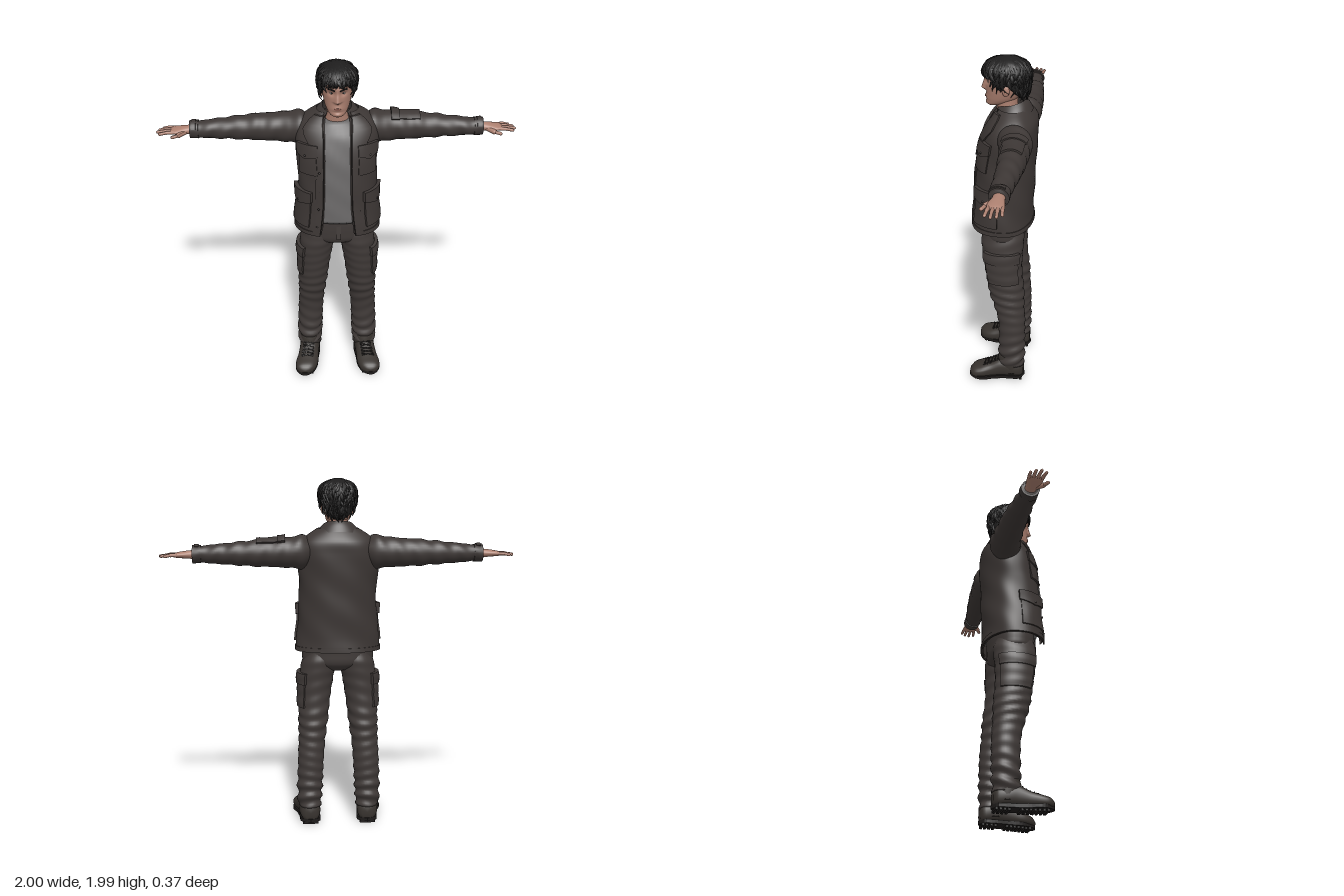
import * as THREE from 'three';
import { mergeGeometries, mergeVertices } from 'three/addons/utils/BufferGeometryUtils.js';

const V = (x, y, z) => new THREE.Vector3(x, y, z);
const spow = (v, e) => Math.sign(v) * Math.abs(v) ** e;
const gauss = (d, s) => Math.exp(-d * d / (2 * s * s));
const mat = (name, color, side = THREE.FrontSide) => new THREE.MeshStandardMaterial({ name, color, side });

// Smooth interpolation of rings [t, centreA, centreB, radiusA, radiusB, ...] at t
function ringAt(rings, t) {
  const n = rings.length - 1;
  if (t <= rings[0][0]) return rings[0];
  if (t >= rings[n][0]) return rings[n];
  let i = 0;
  while (rings[i + 1][0] < t) i++;
  const p = rings[i], q = rings[i + 1], h = q[0] - p[0], s = (t - p[0]) / h;
  const slope = (k, c) => {
    const a = rings[Math.max(k - 1, 0)], b = rings[Math.min(k + 1, n)];
    return (b[c] - a[c]) / (b[0] - a[0]);
  };
  return p.map((v, c) => (2 * s ** 3 - 3 * s * s + 1) * v + (3 * s * s - 2 * s ** 3) * q[c]
    + h * ((s ** 3 - 2 * s * s + s) * slope(i, c) + (s ** 3 - s * s) * slope(i + 1, c)));
}
// Surface (angle, t, offset) around the y (mode 0), x (mode 1) or z (mode 2) axis
const surface = (rings, mode = 0, e = 1, bump = null) => (th, t, off = 0) => {
  const r = ringAt(rings, t);
  const A = r[1] + (r[3] + off) * spow(Math.sin(th), e), B = r[2] + (r[4] + off) * spow(Math.cos(th), e);
  const p = mode === 0 ? V(A, t, B) : mode === 1 ? V(t, B, A) : V(B, A, t);
  if (bump) bump(p, th, t);
  return p;
};
function grid(nu, nv, fn, caps = false) {
  const pos = [], idx = [], w = nu + 1;
  for (let j = 0; j <= nv; j++) for (let i = 0; i <= nu; i++) pos.push(...fn(i / nu, j / nv).toArray());
  for (let j = 0; j < nv; j++) for (let i = 0; i < nu; i++) {
    const a = j * w + i;
    idx.push(a, a + 1, a + w + 1, a, a + w + 1, a + w);
  }
  if (caps) for (const j of [0, nv]) {
    const mid = fn(0, j / nv).add(fn(0.5, j / nv)).multiplyScalar(0.5), c = pos.length / 3;
    pos.push(...mid.toArray());
    for (let i = 0; i < nu; i++) idx.push(c, ...(j ? [j * w + i, j * w + i + 1] : [i + 1, i]));
  }
  let g = new THREE.BufferGeometry();
  g.setAttribute('position', new THREE.Float32BufferAttribute(pos, 3));
  g.setIndex(idx);
  g = mergeVertices(g, 1e-5);
  g.computeVertexNormals();
  return g;
}
const loft = (s, t0, t1, nu = 32, nv = 40) =>
  grid(nu, nv, (u, v) => s((u % 1) * Math.PI * 2, t0 + (t1 - t0) * v), true);
// Thin plate that follows a surface; shape may change [angle, t]
function wrap(s, u0, u1, t0, t1, thick, shape = (u, t) => [u, t], n = 8) {
  const g = new THREE.BoxGeometry(1, 1, 1, n, n, 1), p = g.attributes.position;
  for (let i = 0; i < p.count; i++) {
    const [u, t] = shape(u0 + (u1 - u0) * (p.getX(i) + 0.5), t0 + (t1 - t0) * (p.getY(i) + 0.5));
    p.setXYZ(i, ...s(u, t, -0.004 + (p.getZ(i) + 0.5) * (thick + 0.004)).toArray());
  }
  g.computeVertexNormals();
  return g;
}
function limb(a, b, r) {
  const g = new THREE.CapsuleGeometry(r, a.distanceTo(b), 5, 10), d = b.clone().sub(a).normalize();
  g.applyQuaternion(new THREE.Quaternion().setFromUnitVectors(V(0, 1, 0), d));
  return g.translate(...a.clone().add(b).multiplyScalar(0.5).toArray());
}
const ball = (x, y, z, rx, ry, rz) => new THREE.SphereGeometry(1, 20, 14).scale(rx, ry, rz).translate(x, y, z);
function mirror(src) {
  const g = src.clone().scale(-1, 1, 1);
  const ix = g.index ? Array.from(g.index.array) : Array.from({ length: g.attributes.position.count }, (_, i) => i);
  for (let i = 0; i < ix.length; i += 3) [ix[i], ix[i + 1]] = [ix[i + 1], ix[i]];
  g.setIndex(ix);
  g.computeVertexNormals();
  return g;
}

export function createModel() {
  const root = new THREE.Group();
  root.name = 'man in field jacket';
  const D = THREE.DoubleSide;
  const M = {
    jacket: mat('jacket cloth', 0x3d3735, D), trim: mat('dark trim', 0x2b2625), pants: mat('trouser cloth', 0x403a38),
    shirt: mat('grey shirt', 0x6a6868), skin: mat('skin', 0xac8070), lip: mat('lips', 0x8a5b50),
    hair: mat('hair', 0x1e1d1d, D), boot: mat('boot leather', 0x38332f), sole: mat('boot sole', 0x1f1c1b), eye: mat('eye white', 0xb9b2ac),
  };
  const add = (name, g, m) => { const o = new THREE.Mesh(g, m); o.name = name; root.add(o); };
  const pair = (name, g, m) => { add('left ' + name, g, m); add('right ' + name, mirror(g), m); };

  // Jacket body, open at the front; the last ring value is half the opening
  const jr = [[1.02, 0, .01, .243, .174, .1], [1.1, 0, .01, .238, .17, .09], [1.25, 0, .003, .224, .168, .08],
    [1.4, 0, -.008, .222, .166, .077], [1.5, 0, -.018, .23, .159, .075], [1.58, 0, -.03, .228, .149, .076],
    [1.64, 0, -.045, .21, .132, .078], [1.68, 0, -.05, .17, .105, .075], [1.715, 0, -.045, .115, .085, .065]];
  const E = 0.87;
  const body = surface(jr, 0, E, (p, th, t) => {
    const f = .004 * Math.sin(t * 24 + th * 3) * Math.sin(th * 2 + t * 6);
    p.x += f * Math.sin(th); p.z += f * Math.cos(th);
  });
  const edge = t => { const r = ringAt(jr, t); return Math.asin((r[5] / r[3]) ** (1 / E)); };
  add('jacket body', grid(72, 50, (u, v) => {
    const t = 1.02 + .695 * v, a = edge(t);
    return body(a + u * (2 * Math.PI - 2 * a), t, u === 0 || u === 1 ? -.024 : v === 0 ? -.012 : 0);
  }), M.jacket);
  add('hem band', wrap(body, edge(1.03), 2 * Math.PI - edge(1.03), 1.02, 1.045, .004, undefined, 60), M.jacket);
  pair('placket', wrap(body, 0, .2, 1.025, 1.6, .006, (u, t) => [u + edge(t), t], 14), M.jacket);
  pair('lapel', wrap(body, 0, 1, 1.44, 1.7, .012, (u, t) =>
    [edge(t) + u * (t < 1.63 ? .62 * (t - 1.44) / .19 : .62 - (t - 1.63) * 2), t], 12), M.jacket);
  // Pockets with pointed flaps
  const flap = (u0, u1, t1, drop) => (u, t) => [u, t - (t < t1 ? drop * (1 - Math.abs((2 * u - u0 - u1) / (u1 - u0))) * (t1 - t) / .06 : 0)];
  pair('chest pocket', wrap(body, .46, 1.1, 1.39, 1.53, .009), M.jacket);
  pair('chest pocket flap', wrap(body, .42, 1.13, 1.5, 1.56, .017, flap(.42, 1.13, 1.56, .02)), M.jacket);
  pair('hip pocket', wrap(body, .66, 1.55, 1.07, 1.25, .011), M.jacket);
  pair('hip pocket flap', wrap(body, .62, 1.58, 1.225, 1.285, .019, flap(.62, 1.58, 1.285, .02)), M.jacket);
  const button = (s, u, t, off) => ball(...s(u, t, off).toArray(), .006, .006, .006);
  pair('pocket buttons', mergeGeometries([button(body, .775, 1.5, .016), button(body, 1.1, 1.223, .018)]), M.trim);
  add('front buttons', mergeGeometries([1.08, 1.19, 1.3, 1.41].map(t => button(body, -edge(t) - .1, t, .005))), M.trim);
  // Folded collar, dipping towards the front
  const collar = (rings, t0, t1, a) => {
    const s = surface(rings);
    const g = grid(40, 8, (u, v) => {
      const p = s(a + u * (2 * Math.PI - 2 * a), t0 + (t1 - t0) * v);
      p.y -= .24 * (p.z + .12);
      return p;
    });
    return g;
  };
  add('collar stand', collar([[1.68, 0, -.04, .105, .085], [1.76, 0, -.03, .08, .082]], 1.68, 1.76, .75), M.jacket);
  add('collar fall', collar([[1.69, 0, -.043, .135, .108], [1.735, 0, -.034, .104, .096], [1.76, 0, -.03, .08, .082]], 1.69, 1.76, .7), M.jacket);

  // Shirt
  add('shirt', loft(surface([[1.085, 0, 0, .2, .152], [1.25, 0, 0, .19, .148], [1.4, 0, -.01, .19, .146], [1.5, 0, -.02, .19, .139],
    [1.58, 0, -.032, .185, .128], [1.63, 0, -.04, .15, .111], [1.668, 0, -.025, .076, .077]], 0, .9,
    (p, th, t) => { p.z += .002 * Math.sin(t * 40 + p.x * 30); }), 1.085, 1.668, 40, 40), M.shirt);

  // Sleeves, cuffs and the left arm pocket
  const arm = surface([[.13, -.065, 1.59, .06, .055], [.2, -.076, 1.585, .094, .094], [.26, -.086, 1.583, .088, .088],
    [.33, -.09, 1.581, .08, .081], [.45, -.092, 1.58, .073, .075], [.55, -.09, 1.578, .066, .066],
    [.65, -.085, 1.576, .058, .057], [.75, -.08, 1.575, .05, .048], [.81, -.08, 1.575, .045, .043]], 1, 1, (p, th, t) => {
    const f = .0035 * Math.sin(t * 62 + 2 * Math.sin(th + 1)) * Math.sin(th * 1 + t * 9);
    p.y += f * Math.cos(th); p.z += f * Math.sin(th);
  });
  pair('sleeve', loft(arm, .13, .81, 32, 70), M.jacket);
  pair('cuff', wrap(arm, 0, 2 * Math.PI, .765, .813, .005, undefined, 28), M.jacket);
  pair('cuff strap', wrap(arm, -.6, 1.2, .778, .802, .01), M.jacket);
  add('arm pocket', wrap(arm, -.75, .75, .31, .46, .01), M.jacket);
  add('arm pocket flap', wrap(arm, -.8, .8, .3, .345, .017), M.jacket);

  // Hands
  const palm = surface([[.78, -.08, 1.574, .03, .027], [.83, -.08, 1.573, .033, .023], [.87, -.077, 1.572, .042, .019],
    [.91, -.078, 1.57, .043, .013], [.925, -.078, 1.569, .03, .006]], 1);
  const fingers = [[-.112, -.118, .962], [-.09, -.094, .983], [-.067, -.066, .991], [-.045, -.037, .977]].flatMap(([z0, z1, x]) => {
    const mid = V((.905 + x) / 2, 1.571, (z0 + z1) / 2);
    return [limb(V(.9, 1.571, z0), mid, .0098), limb(mid, V(x, 1.565, z1), .0085)];
  });
  pair('palm', loft(palm, .78, .925, 24, 16), M.skin);
  pair('fingers', mergeGeometries(fingers), M.skin);
  pair('thumb', mergeGeometries([limb(V(.835, 1.568, -.062), V(.872, 1.562, -.026), .014), limb(V(.872, 1.562, -.026), V(.905, 1.558, -.01), .0098)]), M.skin);

  // Trousers
  add('trouser seat', loft(surface([[.905, 0, -.01, .07, .07], [.94, 0, -.003, .185, .118], [1, 0, 0, .207, .13], [1.12, 0, 0, .198, .133]], 0, .9),
    .905, 1.12, 40, 20), M.pants);
  const leg = surface([[.1, .17, -.06, .066, .074], [.2, .168, -.062, .072, .077], [.4, .16, -.06, .075, .08], [.5, .153, -.045, .077, .088],
    [.6, .146, -.028, .084, .102], [.75, .135, -.008, .092, .108], [.88, .122, 0, .1, .118], [.95, .11, 0, .098, .123],
    [1.02, .1, 0, .09, .11]], 0, .95, (p, th, t) => {
    const k = .0015 + .0055 * gauss(t - .17, .09) + .003 * gauss(t - .57, .07);
    const f = k * Math.sin(t * 95 + 2.2 * Math.sin(th + t * 8));
    p.x += f * Math.sin(th); p.z += f * Math.cos(th);
  });
  pair('trouser leg', loft(leg, .1, 1.02, 32, 90), M.pants);
  pair('cargo pocket', wrap(leg, .75, 2.45, .69, .85, .012, undefined, 12), M.pants);
  pair('cargo pocket flap', wrap(leg, .7, 2.5, .825, .89, .019, undefined, 12), M.pants);
  add('fly', new THREE.BoxGeometry(.025, .12, .008).rotateX(-.1).translate(.006, 1.03, .131), M.pants);

  // Boots: foot, shaft, sole, tread and laces
  const foot = surface([[-.135, .065, .165, .035, .03], [-.12, .07, .166, .055, .052], [-.06, .076, .17, .062, .062], [0, .077, .175, .064, .06],
    [.06, .062, .182, .05, .063], [.12, .052, .192, .04, .068], [.165, .046, .2, .031, .055], [.187, .042, .203, .014, .026]], 2, .85);
  pair('boot foot', loft(foot, -.135, .187, 28, 36), M.boot);
  pair('boot shaft', loft(surface([[.05, .17, -.058, .06, .07], [.13, .17, -.052, .064, .074], [.17, .17, -.055, .06, .068]]), .05, .17, 28, 10), M.boot);
  const outline = new THREE.Shape();
  outline.setFromPoints(new THREE.SplineCurve([[.165, -.142], [.22, -.11], [.228, -.03], [.24, .04], [.262, .11], [.245, .165], [.205, .192],
    [.155, .165], [.126, .1], [.118, .02], [.108, -.06], [.115, -.115], [.165, -.142]].map(a => new THREE.Vector2(...a))).getPoints(48));
  pair('sole', new THREE.ExtrudeGeometry(outline, { depth: .02, bevelEnabled: false }).rotateX(Math.PI / 2).translate(0, .032, 0), M.sole);
  const tread = [];
  for (let i = 0; i < 13; i++) {
    const z = -.12 + i * .0225;
    if (i > 3 && i < 6) continue;
    tread.push(new THREE.BoxGeometry(.09, .014, .014).translate(.167 + Math.max(0, z + .03) * .16, .007, z));
  }
  pair('sole tread', mergeGeometries(tread), M.sole);
  const laces = [];
  for (let i = 0; i < 5; i++) for (const s of [-1, 1]) {
    const z = .018 + i * .02, r = k => foot(Math.PI / 2 + k, z + s * k * .012, .003);
    laces.push(new THREE.TubeGeometry(new THREE.CatmullRomCurve3([r(-.5), r(0), r(.5)]), 8, .0035, 5));
  }
  pair('laces', mergeGeometries(laces), M.sole);

  // Neck and head, with features pushed out of the front
  add('neck', loft(surface([[1.6, 0, -.03, .08, .07], [1.66, 0, -.018, .066, .064], [1.7, 0, -.01, .057, .058], [1.78, 0, -.01, .055, .06]]), 1.6, 1.78, 28, 16), M.skin);
  const head = surface([[1.715, 0, .068, .022, .022], [1.725, 0, .057, .041, .044], [1.75, 0, .027, .06, .077], [1.78, 0, .01, .071, .094],
    [1.82, 0, 0, .079, .106], [1.87, 0, -.004, .084, .116], [1.92, 0, -.008, .083, .115], [1.96, 0, -.01, .065, .09], [1.985, 0, -.01, .03, .04]],
    0, .95, (p, th, t) => {
      if (Math.cos(th) < .3) return;
      const x = Math.abs(p.x), n = THREE.MathUtils.clamp((1.875 - t) / .065, 0, 1) * THREE.MathUtils.clamp((t - 1.792) / .016, 0, 1);
      p.z += n * .027 * gauss(x, .006 + .006 * n) + .005 * gauss(t - 1.877, .008) * gauss(x - .025, .025)
        - .013 * gauss(x - .031, .015) * gauss(t - 1.853, .011) + .006 * gauss(t - 1.766, .011) * gauss(x, .02)
        - .004 * gauss(t - 1.748, .006) * gauss(x, .02) + .006 * gauss(t - 1.73, .01) * gauss(x, .02);
    });
  add('head', loft(head, 1.715, 1.985, 80, 80), M.skin);
  pair('ear', ball(.084, 1.822, -.012, .011, .03, .02).rotateZ(0), M.skin);
  const e0 = head(.36, 1.853);
  pair('eye', ball(e0.x, e0.y, e0.z - .003, .012, .0055, .006), M.eye);
  pair('iris', ball(e0.x, e0.y, e0.z + .001, .0048, .0048, .003), M.hair);
  pair('eyebrow', wrap(head, .14, .62, 1.869, 1.877, .004, (u, t) => [u, t + .008 * Math.sin((u - .14) * 5)]), M.hair);
  add('lips', wrap(head, -.27, .27, 1.759, 1.773, .002, (u, t) => [u, 1.766 + (t - 1.766) * (1 - (u / .29) ** 2)]), M.lip);

  // Hair cap with an uneven hairline, covered in tapered locks
  const hair = surface([[1.76, 0, -.03, .07, .08], [1.8, 0, -.018, .088, .108], [1.86, 0, -.01, .099, .124], [1.91, 0, -.008, .102, .125],
    [1.95, 0, -.008, .09, .109], [1.975, 0, -.008, .063, .077], [1.991, 0, -.008, .018, .022]]);
  const line = [[0, 1.917], [.5, 1.905], [.8, 1.88], [1.1, 1.84], [1.35, 1.815], [1.6, 1.85], [2, 1.805], [2.5, 1.77], [3.15, 1.76]];
  const hairline = th => ringAt(line, Math.abs(Math.atan2(Math.sin(th), Math.cos(th))))[1];
  add('hair cap', grid(64, 20, (u, v) => {
    const th = (u % 1) * 2 * Math.PI, lo = hairline(th);
    return hair(th, lo + (1.991 - lo) * v, v === 0 ? -.016 : 0);
  }, true), M.hair);
  let seed = 7;
  const rnd = () => (seed = (seed * 16807) % 2147483647) / 2147483647;
  const locks = [];
  for (let i = 0; i < 330; i++) {
    const th = rnd() * 2 * Math.PI, lo = hairline(th), y0 = lo + .02 + (1.99 - lo - .02) * rnd() ** .7;
    const len = Math.min(.04 + rnd() * .06, y0 - lo + .012 + rnd() * .022), sway = (rnd() - .5) * .7, w = .006 + rnd() * .006, lift = .003 + rnd() * .009;
    locks.push(grid(2, 5, (u, v) => {
      const s = 1 - v, t = y0 - len * s, k = w * (1 - s) ** .6 * (.6 + s);
      const r = Math.max(ringAt([[1.7, .1], [1.93, .1], [1.99, .03]], t)[1], .03);
      return hair(th + sway * s * s + (u - .5) * 2 * k / r, t, (u === .5 ? .6 * k : -.003) + lift * Math.sin(s * 2.4));
    }));
  }
  add('hair locks', mergeGeometries(locks), M.hair);
  return root;
}
